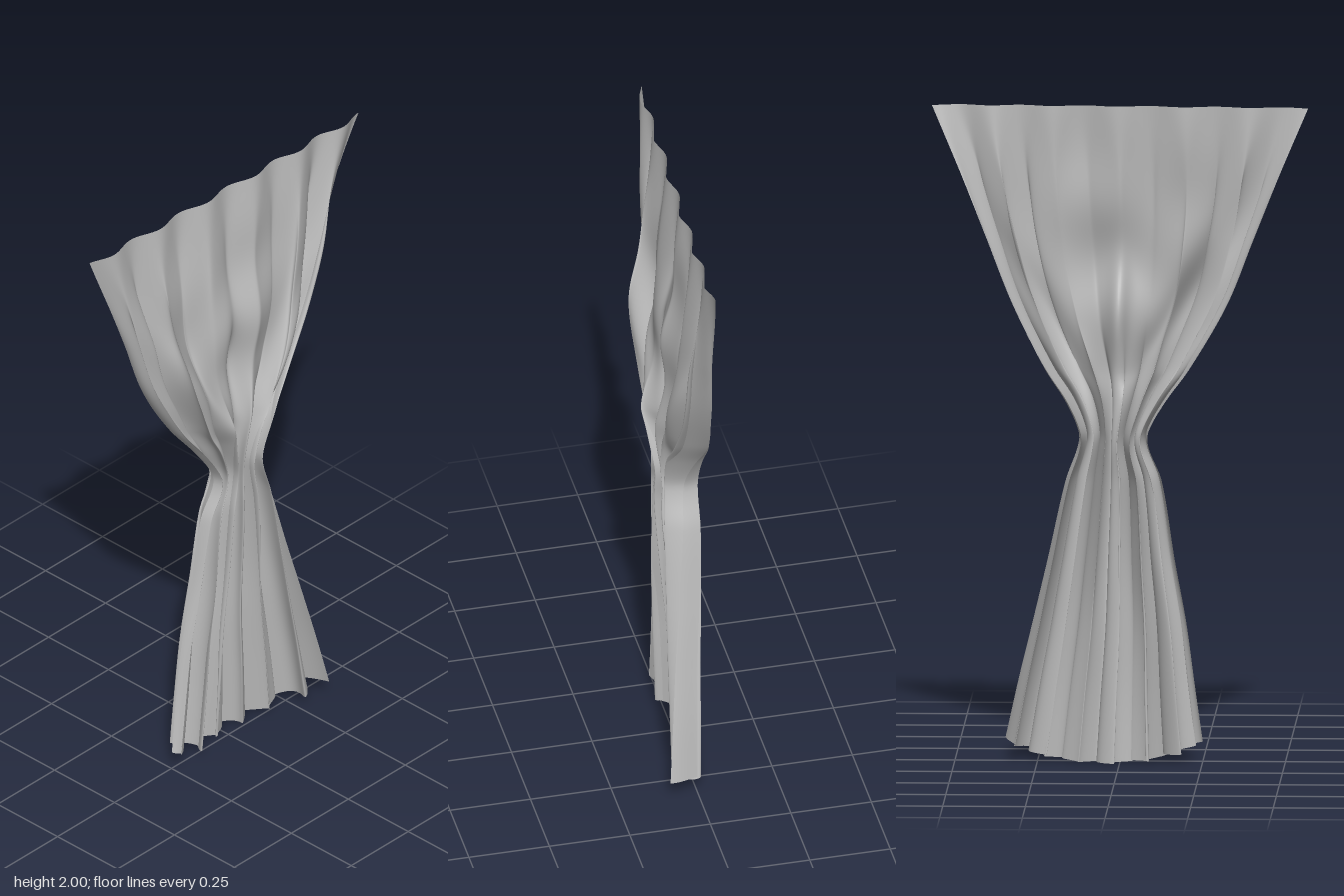
import * as THREE from 'three';

// Rows down the cloth: height, left-hand x, right-hand x, fold depth, centre bulge, z tilt, side crowding
const ROWS = [
  [0.00, -0.25, 0.35, 0.046, -0.070, 0.026, 0.20],
  [0.20, -0.225, 0.31, 0.047, -0.050, 0.022, 0.20],
  [0.40, -0.20, 0.265, 0.048, -0.035, 0.017, 0.20],
  [0.60, -0.165, 0.22, 0.050, -0.02, 0.01, 0.20],
  [0.85, -0.125, 0.165, 0.050, 0.00, 0.005, 0.15],
  [0.95, -0.085, 0.130, 0.047, 0.00, 0.00, 0.10],
  [1.00, -0.085, 0.125, 0.046, 0.01, 0.00, 0.10],
  [1.10, -0.140, 0.165, 0.044, 0.04, 0.00, 0.30],
  [1.20, -0.210, 0.225, 0.040, 0.072, 0.00, 0.55],
  [1.40, -0.325, 0.325, 0.036, 0.066, 0.003, 0.70],
  [1.60, -0.405, 0.405, 0.032, 0.045, 0.008, 0.60],
  [1.80, -0.485, 0.485, 0.022, 0.022, 0.014, 0.35],
  [2.00, -0.57, 0.57, 0.013, 0.000, 0.020, 0.05],
];

// Smooth lookup through the rows
function rowAt(y) {
  let i = 0;
  while (i < ROWS.length - 2 && y > ROWS[i + 1][0]) i++;
  const a = ROWS[i], b = ROWS[i + 1];
  const p = ROWS[Math.max(i - 1, 0)], n = ROWS[Math.min(i + 2, ROWS.length - 1)];
  const h = b[0] - a[0], t = (y - a[0]) / h, t2 = t * t, t3 = t2 * t;
  return a.map((v, k) => {
    const m0 = (b[k] - p[k]) / (b[0] - p[0]) * h;
    const m1 = (n[k] - a[k]) / (n[0] - a[0]) * h;
    return (2 * t3 - 3 * t2 + 1) * v + (t3 - 2 * t2 + t) * m0
      + (3 * t2 - 2 * t3) * b[k] + (t3 - t2) * m1;
  });
}

const bump = (d, w) => Math.exp(-(d * d) / (w * w));

// Point on the cloth: s runs -1..1 across, y runs 0..2 up
function clothPoint(s, y, out) {
  const [, left, right, depth, bulge, tilt, crowd] = rowAt(y);
  const edge = 1 - Math.pow(Math.abs(s), 8);
  const upper = THREE.MathUtils.smoothstep(y, 1.0, 1.35);
  const top = THREE.MathUtils.smoothstep(y, 1.55, 2.0);

  // Pleats, crowded to the sides and nearly flat on the hanging panel
  const spread = THREE.MathUtils.lerp(s, Math.sin(s * Math.PI / 2), crowd);
  const a = s * Math.PI * 6 + 0.5 * Math.sin(y * 2.1 + s * 2) - 1.5 * upper;
  const b = s * Math.PI * 9 + 4.4 + 0.6 * Math.sin(y * 3 + 1);
  const hang = upper * (1 - top) * 0.75 * bump(s, 0.5);
  const low = (1 - upper) * THREE.MathUtils.smoothstep(0.9 - y, 0, 0.5) * 0.6 * bump(s - 0.2, 0.25);
  const panel = 1 - hang - low;
  const wave = (Math.sin(a) * 0.85 + Math.sin(b) * 0.3 * (1 - top)) * panel;

  // Folds lean over sideways a little
  const width = right - left;
  const lean = width * 0.026 * (1 - top) * panel * edge * Math.sin(a * 2 + 0.6);
  const x = (left + right) / 2 + spread * width / 2 + lean;

  // Drooping swag creases, the central pucker and the two slanting ridges above the waist
  const droop = bump(y - 1.5, 0.28) * bump(s, 0.55);
  const pucker = -0.03 * bump(x - 0.01 + (y - 1.35) * 0.04, 0.03) * bump(y - 1.36, 0.16);
  const swag = droop * (0.010 * Math.sin(9 * x + 13 * y) + 0.007 * Math.sin(17 * y - 8 * x + 1));
  const ridgeX = 0.07 + 0.55 * Math.max(y - 1.17, 0);
  const ridge = bump(y - 1.36, 0.26)
    * (0.045 * bump(x + ridgeX, 0.055) + 0.022 * bump(x - ridgeX - 0.05, 0.05));

  const z = depth * wave + bulge * (0.55 - s * s) + tilt * s - 0.008 * top + pucker + swag + ridge;
  const hem = 0.06 * s * s * (1 - y / 2) ** 4;
  out.push(x, y + hem, z);
}

// Grid sheet facing +z
function clothGeometry(cols, rows) {
  const pos = [], index = [];
  for (let j = 0; j <= rows; j++) {
    for (let i = 0; i <= cols; i++) clothPoint(i / cols * 2 - 1, j / rows * 2, pos);
  }
  for (let j = 0; j < rows; j++) {
    for (let i = 0; i < cols; i++) {
      const p = j * (cols + 1) + i, q = p + cols + 1;
      index.push(p, p + 1, q + 1, p, q + 1, q);
    }
  }
  const g = new THREE.BufferGeometry();
  g.setAttribute('position', new THREE.Float32BufferAttribute(pos, 3));
  g.setIndex(index);
  g.computeVertexNormals();
  return g;
}

export function createModel() {
  const group = new THREE.Group();
  group.name = 'gatheredCurtain';
  const fabric = new THREE.MeshStandardMaterial({ color: 0xbcbcbc, side: THREE.DoubleSide });
  fabric.name = 'grey fabric';
  const cloth = new THREE.Mesh(clothGeometry(200, 120), fabric);
  cloth.name = 'curtainCloth';
  group.add(cloth);
  return group;
}
